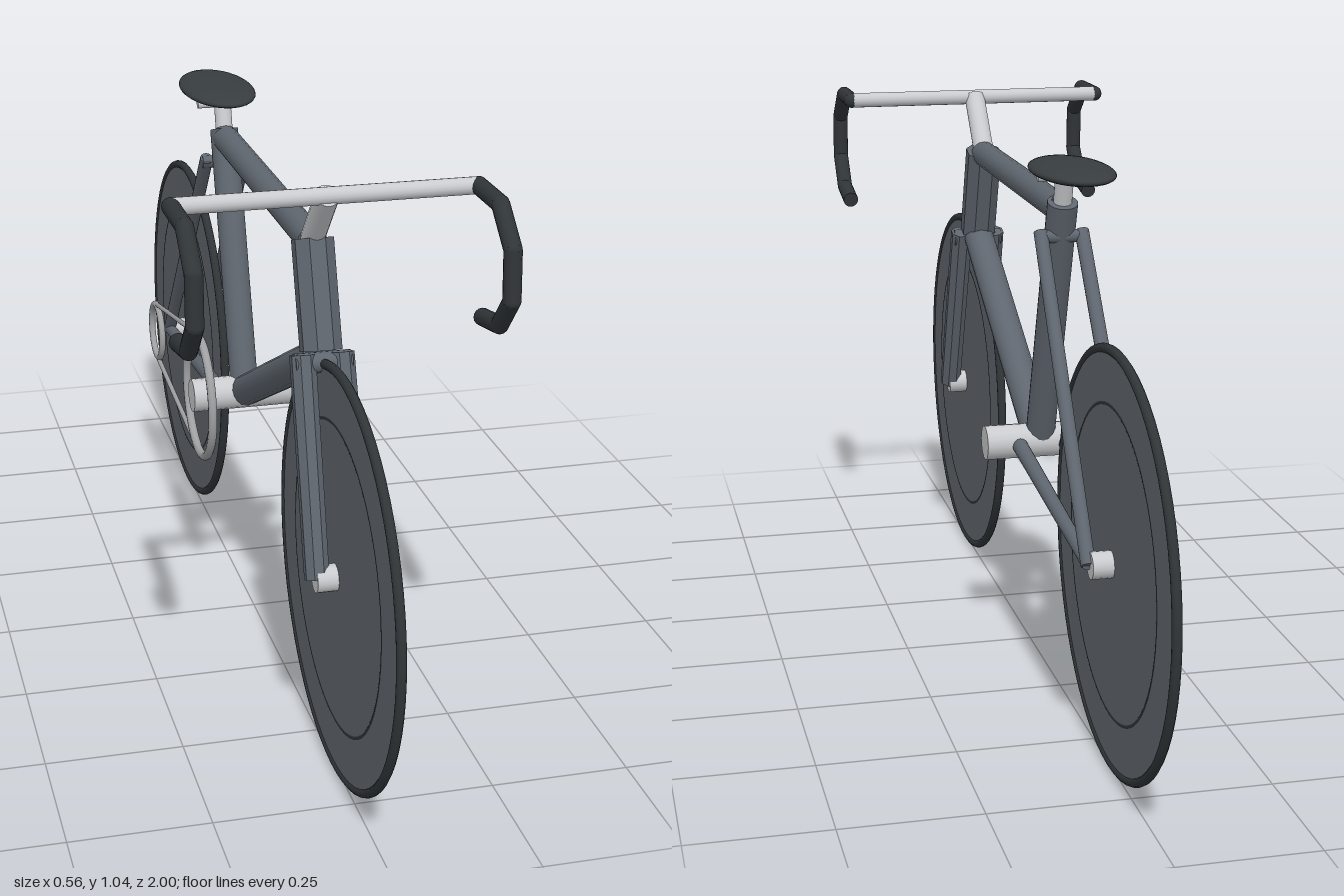
import * as THREE from 'three';

const mat = (name, color) => {
  const m = new THREE.MeshStandardMaterial({ color });
  m.name = name;
  return m;
};
const V = (x, y, z) => new THREE.Vector3(x, y, z);

export function createModel() {
  const frame = mat('frame grey', 0x5f666f);
  const disc = mat('disc grey', 0x62686f);
  const black = mat('black rubber', 0x303538);
  const saddleMat = mat('saddle dark grey', 0x383d40);
  const silver = mat('silver', 0xc9cbce);
  const steel = mat('chain steel', 0x9fa1a2);

  const bike = new THREE.Group();
  bike.name = 'bicycle';

  const add = (name, geo, material, parent = bike) => {
    const m = new THREE.Mesh(geo, material);
    m.name = name;
    parent.add(m);
    return m;
  };

  // Straight round tube between two points
  const rod = (name, a, b, r, material, parent = bike, r2 = r) => {
    const m = add(name, new THREE.CylinderGeometry(r2, r, a.distanceTo(b), 16), material, parent);
    m.position.copy(a).add(b).multiplyScalar(0.5);
    m.quaternion.setFromUnitVectors(V(0, 1, 0), b.clone().sub(a).normalize());
    return m;
  };

  // Flat-sided octagonal tube
  const octRod = (name, a, b, r, r2 = r) => {
    const m = rod(name, a, b, r, frame);
    m.geometry = new THREE.CylinderGeometry(r2, r, a.distanceTo(b), 8).rotateY(Math.PI / 8).toNonIndexed();
    m.geometry.computeVertexNormals();
  };

  const wheelY = 0.379, wheelZ = 0.625;
  const bb = V(0, 0.443, -0.08);
  const headTop = V(0, 0.925, 0.43), headLow = V(0, 0.745, 0.495);

  // Disc wheels: solid disc, thin dark ring line, tyre, hub
  for (const [name, z] of [['frontWheel', wheelZ], ['rearWheel', -wheelZ]]) {
    const wheel = new THREE.Group();
    wheel.name = name;
    wheel.position.set(0, wheelY, z);
    bike.add(wheel);
    const plate = add('wheelDisc', new THREE.CylinderGeometry(0.366, 0.366, 0.01, 64), disc, wheel);
    plate.rotation.z = Math.PI / 2;
    const line = add('discRingLine', new THREE.TorusGeometry(0.274, 0.0058, 12, 64), black, wheel);
    line.rotation.y = Math.PI / 2;
    const tyre = add('tyre', new THREE.TorusGeometry(0.3665, 0.0085, 10, 64), black, wheel);
    tyre.rotation.y = Math.PI / 2;
    rod('hub', V(-0.042, 0, 0), V(0.042, 0, 0), 0.024, silver, wheel);
  }

  // Main frame
  octRod('headTube', headLow, headTop, 0.037);
  rod('topTube', V(0, 0.92, 0.43), V(0, 0.92, -0.25), 0.026, frame);
  rod('downTube', V(0, 0.735, 0.49), bb, 0.031, frame);
  rod('seatTube', bb, V(0, 0.935, -0.256), 0.028, frame);

  // Fork blades and rear stays
  for (const s of [-1, 1]) {
    octRod('forkBlade', V(s * 0.038, wheelY, wheelZ), V(s * 0.034, 0.742, 0.5), 0.022, 0.023);
    rod('chainStay', V(s * 0.045, bb.y, -0.09), V(s * 0.045, wheelY + 0.004, -wheelZ), 0.015, frame, bike, 0.012);
    rod('seatStay', V(s * 0.038, 0.88, -0.246), V(s * 0.045, wheelY, -wheelZ), 0.013, frame);
  }
  rod('forkCrown', V(-0.05, 0.728, 0.505), V(0.05, 0.728, 0.505), 0.018, frame);
  rod('stayBridge', V(-0.046, 0.872, -0.25), V(0.046, 0.872, -0.25), 0.012, frame);

  // Seat post and saddle
  rod('seatPost', V(0, 0.91, -0.247), V(0, 1.0, -0.275), 0.017, silver);
  rod('saddleClamp', V(-0.05, 0.984, -0.272), V(0.05, 0.984, -0.272), 0.008, silver);
  const saddle = add('saddle', new THREE.SphereGeometry(1, 32, 16), saddleMat);
  saddle.scale.set(0.072, 0.017, 0.147);
  saddle.position.set(0, 1.002, -0.32);

  // Stem and handlebar
  rod('stem', V(0, 0.92, 0.425), V(0, 1.027, 0.52), 0.021, silver);
  rod('handlebar', V(-0.263, 1.027, 0.52), V(0.263, 1.027, 0.52), 0.015, silver);

  // Angular drop grips with rounded joints
  const drop = [[1.027, 0.52], [1.027, 0.63], [0.97, 0.697], [0.885, 0.702], [0.825, 0.65], [0.809, 0.565]];
  for (const s of [-1, 1]) {
    const grip = new THREE.Group();
    grip.name = s > 0 ? 'leftDropGrip' : 'rightDropGrip';
    bike.add(grip);
    const pts = drop.map(([y, z]) => V(s * 0.262, y, z));
    pts.forEach((p, i) => {
      if (i) rod('gripSegment', pts[i - 1], p, 0.0155, black, grip);
      if (i < pts.length - 1)
        add('gripJoint', new THREE.SphereGeometry(0.0155, 16, 10), black, grip).position.copy(p);
    });
  }

  // Bottom bracket, chainring, sprocket and chain
  rod('bottomBracket', V(-0.108, bb.y, bb.z), V(0.108, bb.y, bb.z), 0.033, silver);
  const ring = (name, r, tube, x, y, z) => {
    const m = add(name, new THREE.TorusGeometry(r, tube, 10, 48), steel);
    m.rotation.y = Math.PI / 2;
    m.position.set(x, y, z);
  };
  ring('chainring', 0.123, 0.0085, -0.092, bb.y, bb.z);
  ring('sprocket', 0.06, 0.007, -0.073, wheelY, -wheelZ);
  for (const s of [-1, 1])
    rod('chainRun', V(-0.092, bb.y + s * 0.125, bb.z - 0.01), V(-0.073, wheelY + s * 0.062, -wheelZ), 0.005, steel);

  return bike;
}
